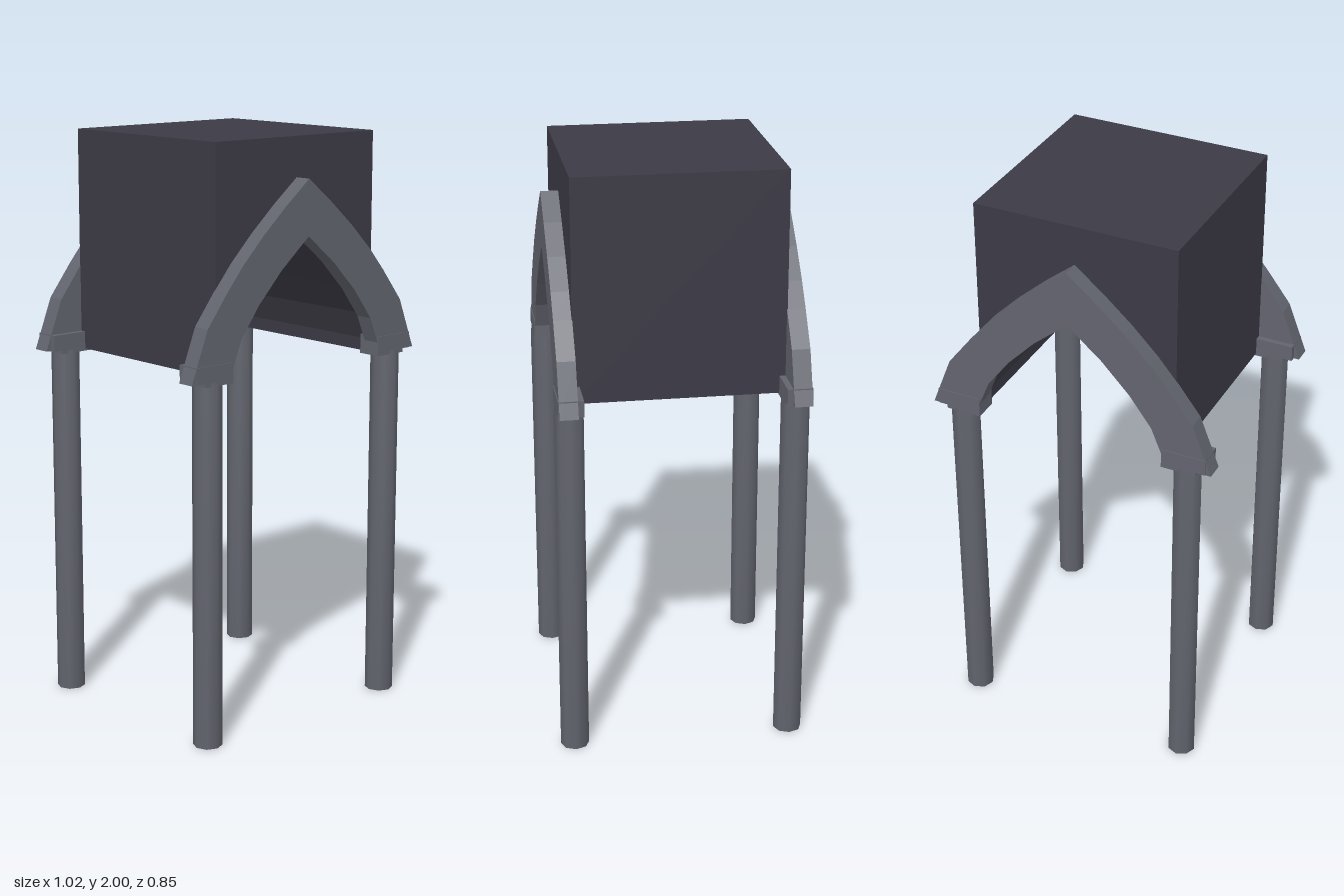
import * as THREE from 'three';
import { mergeVertices } from 'three/addons/utils/BufferGeometryUtils.js';

const blockMat = new THREE.MeshStandardMaterial({ color: 0x3c3b46 });
const stoneMat = new THREE.MeshStandardMaterial({ color: 0x62646e });

// Closed outline from half profiles: right side as given, left side mirrored
function mirroredShape(outer, inner) {
  const flip = (pts) => pts.slice().reverse().filter(([x]) => x > 0).map(([x, y]) => [-x, y]);
  // outer runs bottom to top, inner runs bottom to top, both on +x
  const outline = [...outer, ...flip(outer), ...flip(inner).reverse(), ...inner.slice().reverse()];
  return new THREE.Shape(outline.map(([x, y]) => new THREE.Vector2(x, y)));
}

function slab(shape, z0, z1) {
  const geo = new THREE.ExtrudeGeometry(shape, { depth: z1 - z0, bevelEnabled: false });
  return geo.translate(0, 0, z0);
}

function add(parent, name, geo, mat) {
  const mesh = new THREE.Mesh(geo, mat);
  mesh.name = name;
  parent.add(mesh);
  return mesh;
}

export function createModel() {
  const model = new THREE.Group();
  model.name = 'vaultedCanopy';

  // Solid block with a pointed vault cut through its underside
  const vault = [[0.345, 1.24], [0.342, 1.285], [0.304, 1.38], [0.228, 1.48],
    [0.125, 1.584], [0.04, 1.645], [0, 1.645]];
  const block = mirroredShape([[0.355, 1.24], [0.355, 2]], vault);
  add(model, 'vaultBlock', slab(block, -0.355, 0.355), blockMat);

  // Pointed arch band
  const archOuter = [[0.508, 1.245], [0.44, 1.42], [0.355, 1.53], [0.29, 1.607],
    [0.2, 1.697], [0.1, 1.785], [0, 1.865]];
  const archInner = [[0.333, 1.243], [0.333, 1.28], [0.296, 1.37], [0.22, 1.472],
    [0.12, 1.576], [0, 1.676]];
  const archGeo = slab(mirroredShape(archOuter, archInner), 0.353, 0.415);

  // Capital with a stepped underside
  const capitalShape = new THREE.Shape([[0.333, 1.232], [0.396, 1.232], [0.396, 1.243],
    [0.428, 1.243], [0.428, 1.232], [0.456, 1.232], [0.456, 1.245], [0.488, 1.245],
    [0.488, 1.3], [0.333, 1.3]].map(([x, y]) => new THREE.Vector2(x, y)));
  const capitalGeo = slab(capitalShape, 0.333, 0.418).translate(-0.41, 0, 0);

  // Eight-sided column, shaded smoothly around its rims
  let columnGeo = new THREE.CylinderGeometry(0.049, 0.049, 1.243, 8);
  columnGeo.deleteAttribute('normal');
  columnGeo.deleteAttribute('uv');
  columnGeo = mergeVertices(columnGeo);
  columnGeo.computeVertexNormals();

  // Front and back arcades, the back one turned half a circle
  for (const [end, turn] of [['front', 0], ['back', Math.PI]]) {
    const arcade = new THREE.Group();
    arcade.name = end + 'Arcade';
    arcade.rotation.y = turn;
    add(arcade, end + 'Arch', archGeo, stoneMat);
    for (const s of [1, -1]) {
      const side = (s > 0) === (turn === 0) ? 'Left' : 'Right';
      const capital = add(arcade, end + side + 'Capital', capitalGeo, stoneMat);
      capital.position.x = s * 0.41;
      if (s < 0) {
        // half turn about the column axis keeps the face winding
        capital.rotation.y = Math.PI;
        capital.position.z = 0.751;
      }
      const column = add(arcade, end + side + 'Column', columnGeo, stoneMat);
      column.position.set(s * 0.41, 0.6215, 0.376);
    }
    model.add(arcade);
  }
  return model;
}
